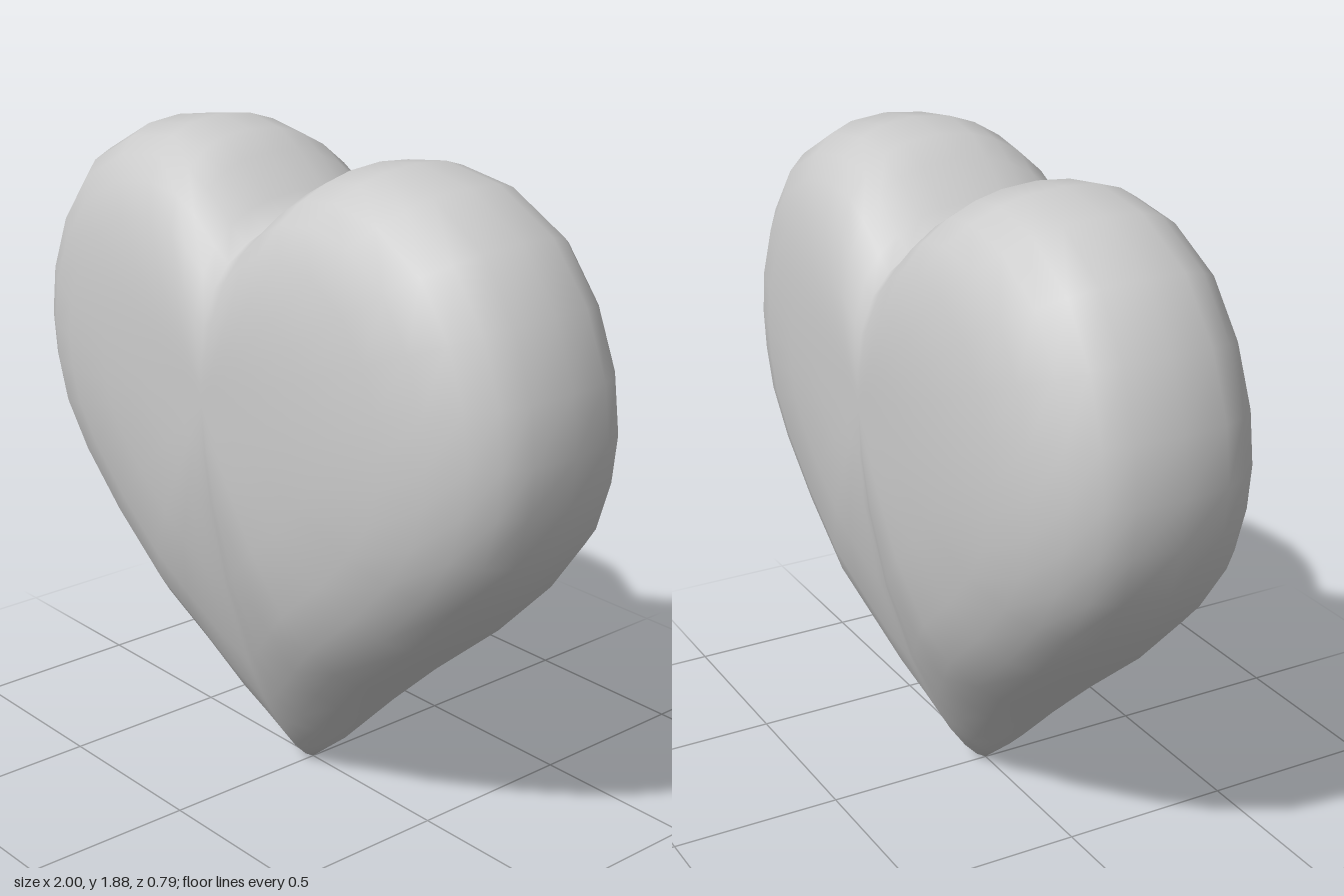
import * as THREE from 'three';

// Right-hand half of the heart outline, from bottom tip up to the cleft
const HALF = [
  [0, 0], [0.06, 0.05], [0.145, 0.12], [0.28, 0.26], [0.42, 0.4], [0.65, 0.6], [0.83, 0.79],
  [0.94, 0.95], [0.985, 1.1], [1, 1.24], [0.98, 1.4], [0.91, 1.58], [0.79, 1.74],
  [0.6, 1.845], [0.41, 1.875], [0.27, 1.855], [0.18, 1.805], [0.07, 1.715], [0, 1.67],
];
const CENTRE_Y = 1.2;
const DEPTH = 0.395;
const RINGS = [0.12, 0.25, 0.46, 0.67, 0.8, 0.89, 0.95, 0.985]; // fractions of the outline

// Puffed thickness: full and round at the sides and lobes, tapering towards the tip
function thickness(s, x, y) {
  const angle = Math.atan2(Math.abs(x), CENTRE_Y - y); // 0 = straight down
  const side = Math.sin(angle) ** 2;
  const tip = Math.max(0, 1 - angle / THREE.MathUtils.degToRad(28));
  const p = THREE.MathUtils.lerp(3.5 + 0.5 * side, 1.8, tip);
  const q = THREE.MathUtils.lerp(2.1 + 0.5 * side, 1.4, tip);
  return DEPTH * Math.pow(1 - Math.pow(s, p), 1 / q);
}

function heartGeometry() {
  const mirrored = HALF.slice(1, -1).reverse().map(([x, y]) => [-x, y]);
  const outline = [...HALF, ...mirrored];
  const n = outline.length;

  // Rings run from the front centre out to the rim and in again to the back centre
  const rows = [
    ...RINGS.map((s) => [s, 1]),
    [1, 0],
    ...[...RINGS].reverse().map((s) => [s, -1]),
  ];
  const positions = [0, CENTRE_Y, DEPTH];
  for (const [s, sign] of rows) {
    for (const [x, y] of outline) {
      const z = sign === 0 ? 0 : sign * thickness(s, x, y);
      positions.push(x * s, CENTRE_Y + (y - CENTRE_Y) * s, z);
    }
  }
  positions.push(0, CENTRE_Y, -DEPTH);

  const last = 1 + rows.length * n;
  const index = [];
  for (let i = 0; i < n; i++) {
    const j = (i + 1) % n;
    index.push(0, 1 + i, 1 + j);
    for (let r = 0; r < rows.length - 1; r++) {
      const a = 1 + r * n;
      const b = a + n;
      index.push(a + i, b + i, b + j, a + i, b + j, a + j);
    }
    const end = last - n;
    index.push(last, end + j, end + i);
  }

  const geometry = new THREE.BufferGeometry();
  geometry.setAttribute('position', new THREE.Float32BufferAttribute(positions, 3));
  geometry.setIndex(index);
  geometry.computeVertexNormals();
  return geometry;
}

export function createModel() {
  const group = new THREE.Group();
  group.name = 'heart';
  const body = new THREE.Mesh(
    heartGeometry(),
    new THREE.MeshStandardMaterial({ color: 0xcccccc }),
  );
  body.name = 'heartBody';
  group.add(body);
  return group;
}
